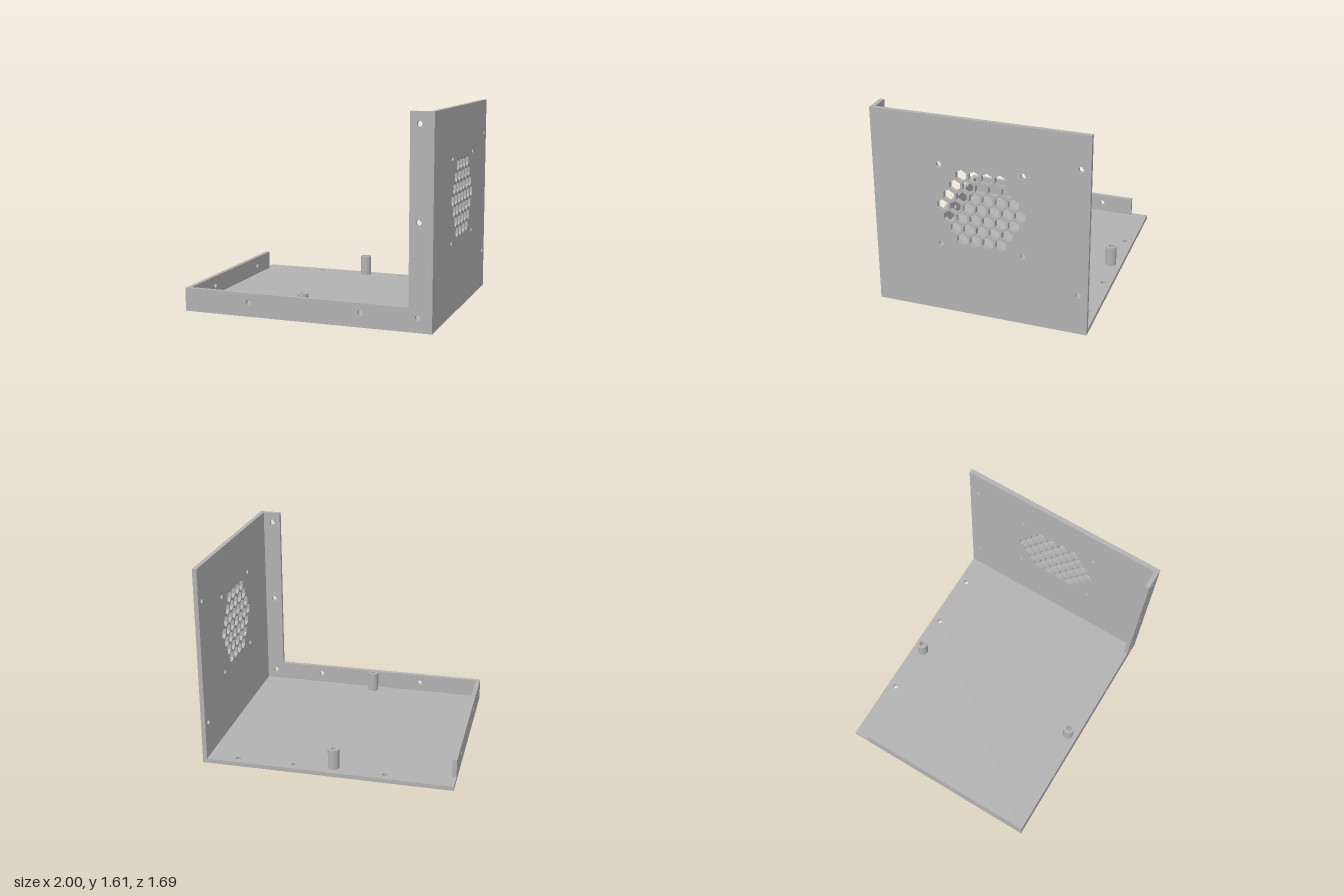
import * as THREE from 'three';

const T = 0.035;            // sheet thickness
const D = 0.843;            // half depth
const H = 1.61;             // tall wall height
const LIP = 0.185;          // low lip height
const R = 0.021;            // screw hole radius

const polygon = (points) => new THREE.Shape(points.map(([x, y]) => new THREE.Vector2(x, y)));
const rect = (x0, y0, x1, y1) => polygon([[x0, y0], [x1, y0], [x1, y1], [x0, y1]]);

function circle(x, y, r) {
  const p = new THREE.Path();
  p.absarc(x, y, r, 0, Math.PI * 2, false);
  return p;
}

// round hole with a pointed top
function teardrop(x, y) {
  const p = new THREE.Path();
  p.absarc(x, y, R, Math.PI * 0.75, Math.PI * 2.25, false);
  p.lineTo(x, y + R * Math.SQRT2);
  p.closePath();
  return p;
}

function hexagon(x, y, r) {
  const pts = [];
  for (let i = 0; i < 6; i++) {
    const a = Math.PI / 6 + i * Math.PI / 3;
    pts.push(new THREE.Vector2(x + r * Math.cos(a), y + r * Math.sin(a)));
  }
  return new THREE.Path(pts);
}

export function createModel() {
  const group = new THREE.Group();
  const grey = new THREE.MeshStandardMaterial({ color: 0xb2b2b2 });
  grey.name = 'plain grey';

  const plate = (name, shape, holes, depth) => {
    shape.holes.push(...holes);
    const geo = new THREE.ExtrudeGeometry(shape, { depth, bevelEnabled: false, curveSegments: 20 });
    const mesh = new THREE.Mesh(geo, grey);
    mesh.name = name;
    group.add(mesh);
    return mesh;
  };

  // floor, drawn in (x, -z)
  const floorHoles = [-0.46, 0.27, 0.725].map((x) => circle(x, 0.775, R));
  plate('floor', rect(-1, -D, 1, D), floorHoles, T).rotation.x = -Math.PI / 2;

  // tall side wall with fan grille, drawn in (-z, y)
  const fanU = 0.017, fanY = 0.9, pitch = 0.101;
  const wallHoles = [teardrop(0.77, 1.34), teardrop(0.77, 0.325)];
  for (const su of [-1, 1]) {
    for (const sy of [-1, 1]) wallHoles.push(teardrop(fanU + su * 0.326, fanY + sy * 0.325));
  }
  for (let row = -3; row <= 3; row++) {
    const count = 7 - Math.abs(row);
    for (let i = 0; i < count; i++) {
      wallHoles.push(hexagon(fanU + (i - (count - 1) / 2) * pitch, fanY + row * pitch * 0.866, 0.048));
    }
  }
  const wall = plate('fanWall', rect(-D, T, D, H), wallHoles, T);
  wall.rotation.y = Math.PI / 2;
  wall.position.x = 1 - T;

  // L-shaped front flange: low lip and upright strip
  const frontShape = polygon([[-1, T], [1 - T, T], [1 - T, H], [0.82, H], [0.82, LIP], [-1, LIP]]);
  const frontHoles = [[-0.46, 0.11], [0.45, 0.11], [0.89, 0.11], [0.89, 0.81], [0.89, 1.52]]
    .map(([x, y]) => teardrop(x, y));
  plate('frontFlange', frontShape, frontHoles, T).position.z = D - T;

  // low side lip, stopping short of the back
  const lip = plate('sideLip', rect(-D + T, T, 0.70, LIP), [teardrop(-0.395, 0.11), teardrop(0.43, 0.11)], T);
  lip.rotation.y = Math.PI / 2;
  lip.position.x = -1;

  // hollow screw posts
  for (const z of [0.747, -0.753]) {
    const ring = new THREE.Shape();
    ring.absarc(0, 0, 0.045, 0, Math.PI * 2, false);
    const post = plate('screwPost', ring, [circle(0, 0, 0.021)], 0.2 - T);
    post.rotation.x = -Math.PI / 2;
    post.position.set(-0.045, T, z);
  }

  return group;
}
